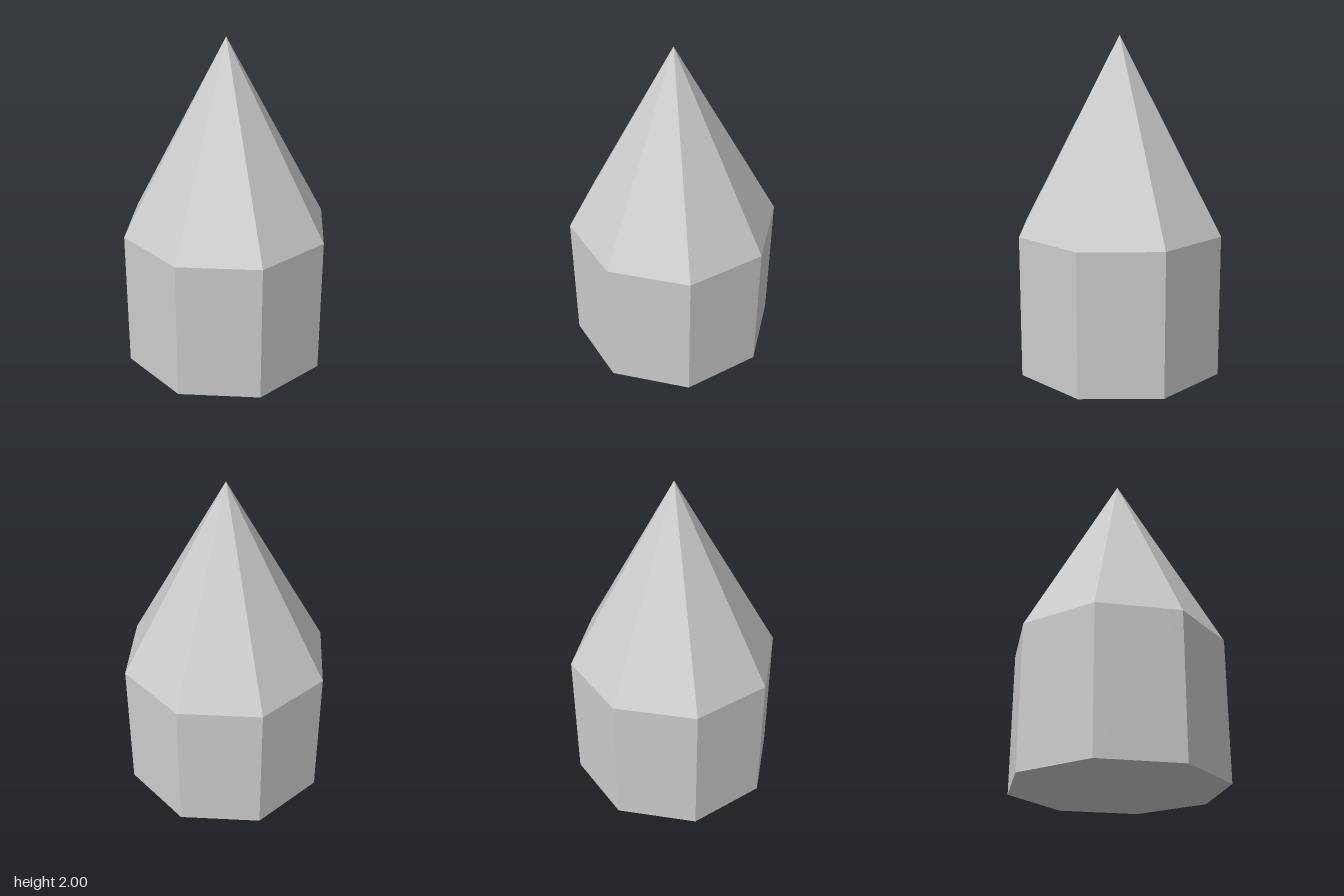
import * as THREE from 'three';

const SIDES = 8;
const RADIUS = 0.635;
const WALL_HEIGHT = 0.85;
const TOTAL_HEIGHT = 2;

export function createModel() {
  const model = new THREE.Group();
  model.name = 'octagonalTower';
  const material = new THREE.MeshStandardMaterial({ color: 0xcccccc, flatShading: true });

  // Eight-sided body with a closed floor, corners on the x and z axes
  const body = new THREE.Mesh(
    new THREE.CylinderGeometry(RADIUS, RADIUS, WALL_HEIGHT, SIDES),
    material
  );
  body.name = 'body';
  body.position.y = WALL_HEIGHT / 2;

  // Pointed roof, flush with the body
  const roofHeight = TOTAL_HEIGHT - WALL_HEIGHT;
  const roof = new THREE.Mesh(
    new THREE.ConeGeometry(RADIUS, roofHeight, SIDES, 1, true),
    material
  );
  roof.name = 'roof';
  roof.position.y = WALL_HEIGHT + roofHeight / 2;

  model.add(body, roof);
  return model;
}
